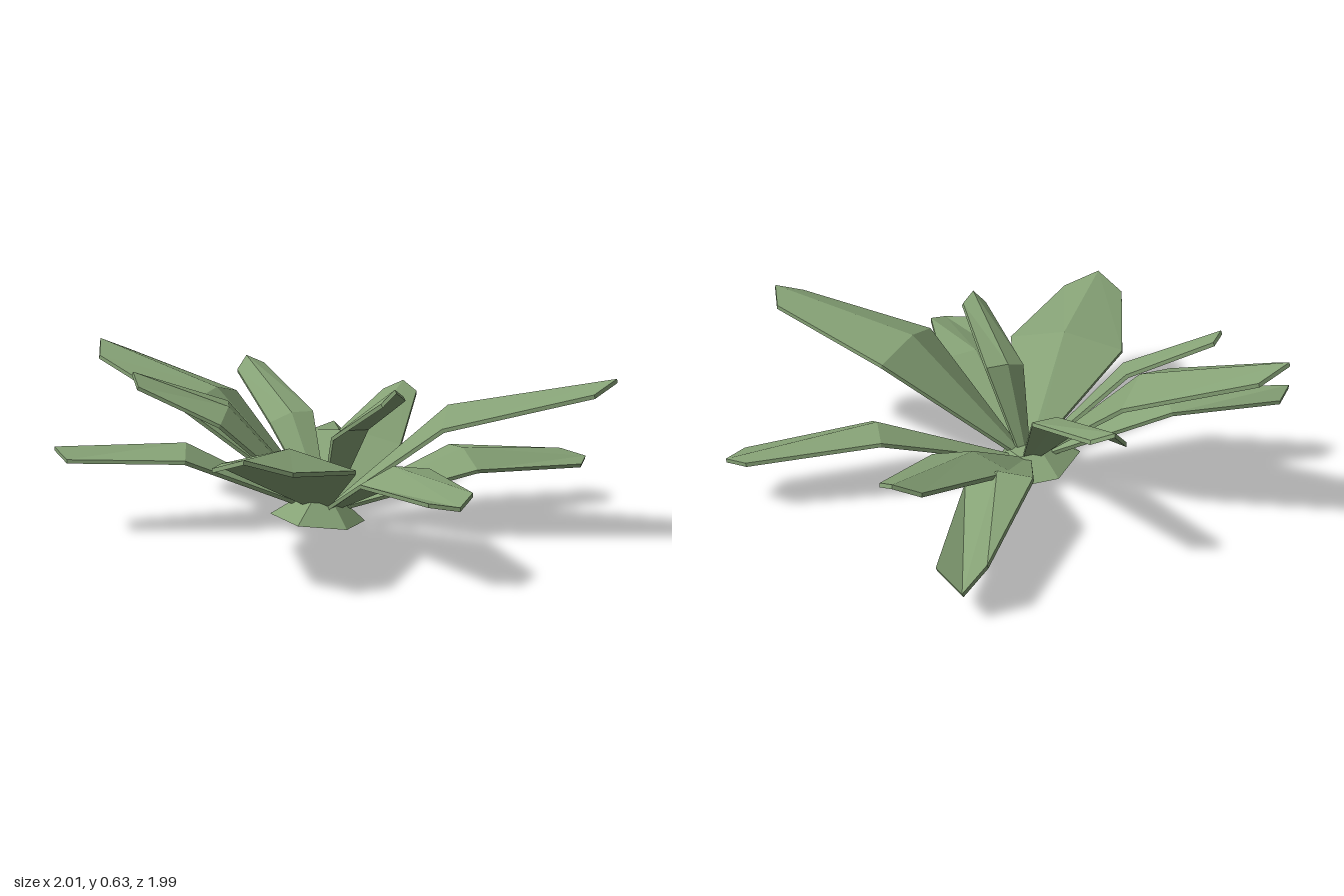
import * as THREE from 'three';

const leafMaterial = new THREE.MeshStandardMaterial({ color: 0x86a276, flatShading: true });
const UP = new THREE.Vector3(0, 1, 0);
const HEART = new THREE.Vector3(-0.04, 0.05, 0);
const THICKNESS = 0.014;

// Ridge at the bend and at the tip, half widths at the bend (w) and the end (e);
// optional fold of the end (negative turns its edges up) and roll about the leaf
const LEAVES = [
  { name: 'leftLeaf', bend: [0.42, 0.47, -0.02], tip: [1.0, 0.59, -0.05], w: 0.2, e: 0.095 },
  { name: 'rightLeaf', bend: [-0.48, 0.48, -0.03], tip: [-1.0, 0.635, -0.08], w: 0.2, e: 0.1 },
  { name: 'backLeaf', bend: [-0.025, 0.26, -0.41], tip: [-0.025, 0.39, -0.945], w: 0.15, e: 0.075 },
  { name: 'droopingBackLeaf', bend: [-0.155, 0.25, -0.49], tip: [-0.285, 0.105, -1.0], w: 0.12, e: 0.083, fold: -0.65, roll: 0.22 },
  { name: 'backLeftLeaf', bend: [0.4, 0.25, -0.33], tip: [0.81, 0.175, -0.68], w: 0.14, e: 0.09, fold: 0.05, roll: 0.15 },
  { name: 'backRightLeaf', bend: [-0.26, 0.36, -0.235], tip: [-0.6, 0.52, -0.58], w: 0.09, e: 0.06, fold: 0.5, roll: -0.2 },
  { name: 'smallRightLeaf', bend: [-0.36, 0.44, 0.13], tip: [-0.675, 0.57, 0.26], w: 0.11, e: 0.05, fold: 0.5, roll: -0.25 },
  { name: 'smallLeftLeaf', bend: [0.07, 0.38, 0.07], tip: [0.315, 0.565, 0.275], w: 0.08, e: 0.05, fold: 0.5, roll: 0.15 },
  { name: 'frontRightLeaf', bend: [-0.48, 0.32, 0.24], tip: [-0.89, 0.32, 0.46], w: 0.14, e: 0.06, fold: 0.6 },
  { name: 'frontLeftLeaf', bend: [0.32, 0.31, 0.3], tip: [0.64, 0.282, 0.645], w: 0.135, e: 0.08, fold: -0.15, roll: 0.1 },
  { name: 'frontLeaf', bend: [0.01, 0.38, 0.46], tip: [0.08, 0.46, 0.99], w: 0.23, e: 0.125 },
];

// Six-point section: a shallow roof on top and its copy underneath
function section(ridge, side, normal, halfWidth, fold, setBack) {
  const edge = (s) => ridge.clone().addScaledVector(side, s * halfWidth)
    .addScaledVector(normal, -fold * halfWidth).add(setBack);
  const top = [edge(-1), ridge.clone(), edge(1)];
  const under = top.map((p) => p.clone().addScaledVector(normal, -THICKNESS)).reverse();
  return [...top, ...under];
}

function makeLeaf({ name, bend, tip, w, e, fold = 0.3, roll = 0 }) {
  const bendPoint = new THREE.Vector3(...bend);
  const tipPoint = new THREE.Vector3(...tip);
  const root = HEART.clone().lerp(bendPoint, 0.08);
  const inner = bendPoint.clone().sub(root).normalize();
  const outer = tipPoint.clone().sub(bendPoint).normalize();
  const side = tipPoint.clone().sub(HEART).cross(UP).normalize().applyAxisAngle(outer, roll);
  const normalOf = (dir) => side.clone().cross(dir).normalize();
  const none = new THREE.Vector3();
  const rings = [
    section(root, side, normalOf(inner), 0.025, 0.25, none),
    section(bendPoint, side, normalOf(inner.clone().add(outer)), w, 0.27, none),
    section(tipPoint, side, normalOf(outer), e, fold, outer.clone().multiplyScalar(-0.75 * e)),
  ];

  const positions = rings.flat().flatMap((p) => p.toArray());
  const index = [];
  for (let i = 0; i < 2; i++) {
    for (let j = 0; j < 6; j++) {
      const a = i * 6 + j;
      const b = i * 6 + (j + 1) % 6;
      index.push(a, b, a + 6, b, b + 6, a + 6);
    }
  }
  // Root and tip caps
  for (const [a, b, c] of [[0, 1, 4], [0, 4, 5], [1, 2, 3], [1, 3, 4]]) {
    index.push(c, b, a, a + 12, b + 12, c + 12);
  }
  const geometry = new THREE.BufferGeometry();
  geometry.setAttribute('position', new THREE.Float32BufferAttribute(positions, 3));
  geometry.setIndex(index);
  geometry.computeVertexNormals();
  const mesh = new THREE.Mesh(geometry, leafMaterial);
  mesh.name = name;
  return mesh;
}

export function createModel() {
  const group = new THREE.Group();
  group.name = 'plant';
  for (const leaf of LEAVES) group.add(makeLeaf(leaf));

  // Tilted faceted crown that the leaves grow from
  const crown = new THREE.Mesh(new THREE.CylinderGeometry(0.08, 0.17, 0.07, 6), leafMaterial);
  crown.name = 'crown';
  crown.scale.set(1.02, 1, 1.2);
  crown.rotation.set(-0.09, 0, -0.11);
  crown.position.set(-0.05, 0.061, 0.022);
  group.add(crown);
  return group;
}
